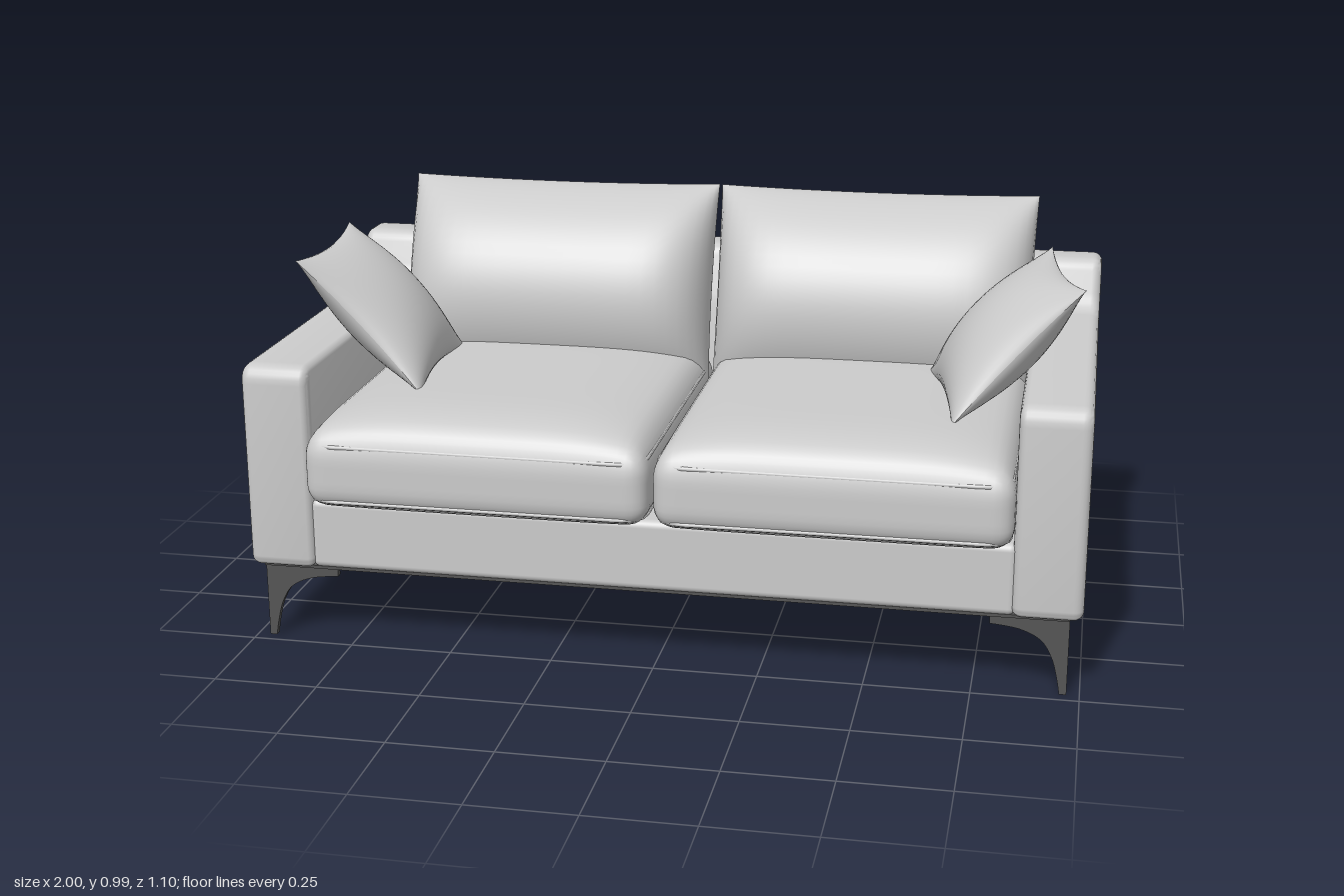
import * as THREE from 'three';
import { mergeVertices, toCreasedNormals } from 'three/addons/utils/BufferGeometryUtils.js';
import { RoundedBoxGeometry } from 'three/addons/geometries/RoundedBoxGeometry.js';

const fabric = new THREE.MeshStandardMaterial({ color: 0xcccccc });
const dark = new THREE.MeshStandardMaterial({ color: 0x555555 });

function mesh(name, geometry, material = fabric) {
  const m = new THREE.Mesh(geometry, material);
  m.name = name;
  return m;
}

// Closed outline from [x, y, cornerRadius] points
function roundedShape(points) {
  const shape = new THREE.Shape();
  const n = points.length;
  points.forEach(([x, y, r], i) => {
    const p = new THREE.Vector2(x, y);
    const toward = ([ax, ay]) => new THREE.Vector2(ax, ay).sub(p).setLength(r).add(p);
    const a = toward(points[(i + n - 1) % n]);
    const b = toward(points[(i + 1) % n]);
    if (i === 0) shape.moveTo(a.x, a.y); else shape.lineTo(a.x, a.y);
    shape.quadraticCurveTo(x, y, b.x, b.y);
  });
  shape.closePath();
  return shape;
}

// Extrude a (z, y) outline along x between x0 and x1
function extrudeX(shape, x0, x1, bevel) {
  const g = new THREE.ExtrudeGeometry(shape, {
    depth: x1 - x0 - 2 * bevel, curveSegments: 6, bevelEnabled: bevel > 0,
    bevelSize: bevel, bevelThickness: bevel, bevelOffset: -bevel, bevelSegments: 5,
  });
  g.rotateY(-Math.PI / 2).translate(x1 - bevel, 0, 0);
  return toCreasedNormals(g, 0.6);
}

const ease = (t) => Math.sin(THREE.MathUtils.clamp(t, -1, 1) * Math.PI / 2);

// Rounded block whose top swells into a crown
function seatCushion(w, h, d, r, crown) {
  let g = new THREE.BoxGeometry(2, 2, 2, 32, 14, 32);
  g.deleteAttribute('uv');
  g.deleteAttribute('normal');
  g = mergeVertices(g);
  const half = new THREE.Vector3(w / 2, h / 2, d / 2);
  const inner = half.clone().subScalar(r);
  const pos = g.attributes.position;
  const p = new THREE.Vector3(), c = new THREE.Vector3();
  for (let i = 0; i < pos.count; i++) {
    p.fromBufferAttribute(pos, i);
    p.set(ease(p.x), ease(p.y), ease(p.z)).multiply(half);
    c.copy(p).clamp(inner.clone().negate(), inner);
    p.sub(c).setLength(r).add(c);
    const u = p.x / half.x, w2 = p.z / half.z, v = p.y / half.y;
    const swell = Math.max(0, (1 - u ** 4) * (1 - w2 ** 6)) ** 0.6;
    p.y += (v > 0 ? crown : crown * 0.15) * v * swell;
    pos.setXYZ(i, p.x, p.y, p.z);
  }
  g.computeVertexNormals();
  return g;
}

// Piping loop around a rounded rectangle in plan
function piping(w, d, r, y) {
  const a = w / 2, b = d / 2;
  const outline = roundedShape([[-a, -b, r], [a, -b, r], [a, b, r], [-a, b, r]]);
  const path = new THREE.CatmullRomCurve3(
    outline.getSpacedPoints(80).slice(0, -1).map((q) => new THREE.Vector3(q.x, y, q.y)), true);
  return new THREE.TubeGeometry(path, 120, 0.006, 6, true);
}

// Stuffed pillow: two bulging faces that meet in a sharp seam, sides drawn in
function pillow(name, { w, h, front, back, pinch, flat, power }) {
  const group = new THREE.Group();
  group.name = name;
  for (const side of [1, -1]) {
    const g = new THREE.PlaneGeometry(2, 2, 28, 28);
    const pos = g.attributes.position;
    for (let i = 0; i < pos.count; i++) {
      const u = ease(pos.getX(i)), v = ease(pos.getY(i));
      const x = u * (w / 2 - pinch * (1 - v * v));
      const y = v * (h / 2 - pinch * (1 - u * u));
      const across = Math.max(0, 1 - Math.abs(u) ** flat) ** (flat > 2 ? 0.5 : power);
      const along = Math.max(0, 1 - v * v) ** power;
      pos.setXYZ(i, side * x, y, side * (side > 0 ? front : back) * across * along);
    }
    g.computeVertexNormals();
    group.add(mesh(side > 0 ? 'pillowFront' : 'pillowBack', g));
  }
  return group;
}

// Corner leg: two curved blades at a right angle, outer corner at the origin
function leg(name) {
  const s = new THREE.Shape();
  s.moveTo(0, 0);
  s.lineTo(0.017, 0);
  s.splineThru([[0.024, 0.04], [0.038, 0.09], [0.065, 0.132], [0.115, 0.156], [0.183, 0.165]]
    .map(([x, y]) => new THREE.Vector2(x, y)));
  s.lineTo(0.183, 0.19);
  s.lineTo(0, 0.19);
  s.closePath();
  const t = 0.016;
  const blade = new THREE.ExtrudeGeometry(s, { depth: t, bevelEnabled: false, curveSegments: 16 });
  const group = new THREE.Group();
  group.name = name;
  group.add(mesh('legBladeAcross', toCreasedNormals(blade, 0.6), dark));
  group.add(mesh('legBladeAlong',
    toCreasedNormals(blade.clone().rotateY(-Math.PI / 2).translate(t, 0, 0), 0.6), dark));
  return group;
}

export function createModel() {
  const sofa = new THREE.Group();
  sofa.name = 'sofa';

  // Frame: arms rise into the slanted back, which runs the full width
  const rear = [[-0.445, 0.82, 0.03], [-0.556, 0.82, 0.025], [-0.455, 0.19, 0.03]];
  const armShape = roundedShape([[0.497, 0.19, 0.025], [0.497, 0.695, 0.045],
    [-0.4, 0.695, 0.045], ...rear]);
  const backShape = roundedShape([[-0.32, 0.19, 0.01], [-0.4, 0.68, 0.02], ...rear]);
  sofa.add(mesh('rightArm', extrudeX(armShape, -1, -0.835, 0.024)));
  sofa.add(mesh('leftArm', extrudeX(armShape, 0.835, 1, 0.024)));
  sofa.add(mesh('backrest', extrudeX(backShape, -0.975, 0.975, 0)));

  const base = mesh('seatBase', new RoundedBoxGeometry(1.69, 0.175, 0.88, 4, 0.018));
  base.position.set(0, 0.278, 0.047);
  sofa.add(base);
  const under = mesh('undersidePanel', new THREE.BoxGeometry(1.94, 0.008, 0.91), dark);
  under.position.set(0, 0.19, 0.025);
  sofa.add(under);

  for (const s of [-1, 1]) {
    const side = s > 0 ? 'left' : 'right';

    // Seat cushion with piped edges
    const seat = new THREE.Group();
    seat.name = side + 'SeatCushion';
    seat.add(mesh('cushionBody', seatCushion(0.832, 0.17, 0.93, 0.05, 0.064)));
    for (const y of [0.068, -0.068]) seat.add(mesh('cushionPiping', piping(0.81, 0.908, 0.06, y)));
    seat.position.set(s * 0.421, 0.452, 0.087);
    sofa.add(seat);

    // Back cushion leaning on the backrest
    const backCushion = pillow(side + 'BackCushion',
      { w: 0.83, h: 0.57, front: 0.2, back: 0.085, pinch: 0.007, flat: 6, power: 0.75 });
    backCushion.rotation.set(-0.297, 0, 0, 'YXZ');
    backCushion.position.set(s * 0.418, 0.715, -0.337);
    sofa.add(backCushion);

    // Throw pillow tilted against the arm
    const thrown = pillow(side + 'ThrowPillow',
      { w: 0.45, h: 0.44, front: 0.09, back: 0.09, pinch: 0.022, flat: 2, power: 0.6 });
    thrown.rotation.set(-0.745, s > 0 ? -Math.PI / 2 + 0.2 : Math.PI / 2 + 0.045, 0, 'YXZ');
    thrown.position.set(s * 0.775, 0.748, s > 0 ? 0.065 : 0.08);
    sofa.add(thrown);

    // Legs
    for (const [end, z, dir] of [['Front', 0.47, -1], ['Rear', -0.425, 1]]) {
      const l = leg(side + end + 'Leg');
      l.position.set(s * 0.97, 0, z);
      l.scale.set(-s, 1, dir);
      sofa.add(l);
    }
  }
  return sofa;
}
